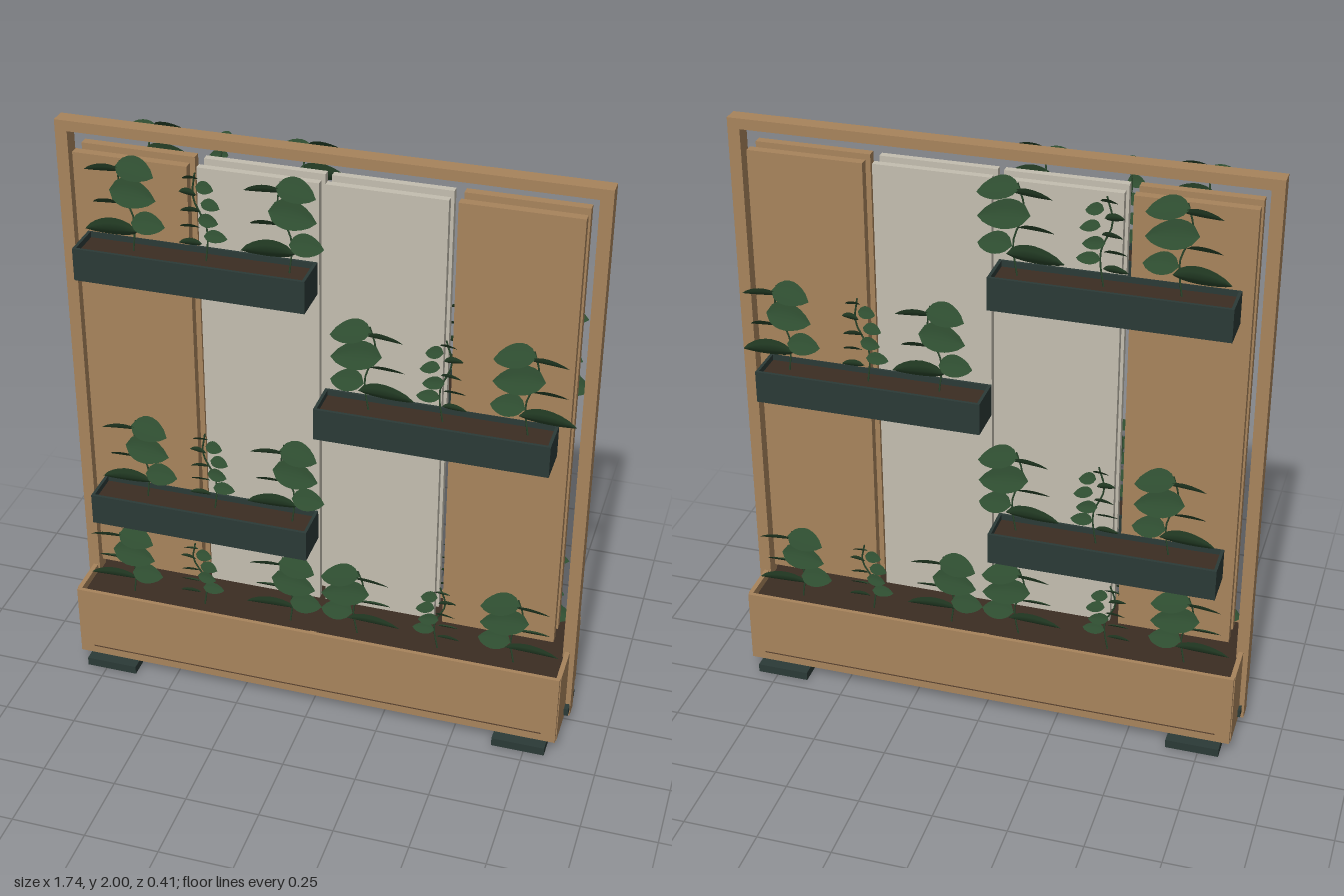
import * as THREE from 'three';
import { mergeGeometries } from 'three/addons/utils/BufferGeometryUtils.js';

const mat = (color, side = THREE.FrontSide) => new THREE.MeshStandardMaterial({ color, side });

// One leaf: grows along +x from the origin, rounded blade, folded on the midrib and drooping at the tip
function leafGeometry(length, width) {
  const g = new THREE.PlaneGeometry(1, 2, 8, 4);
  const p = g.attributes.position;
  for (let i = 0; i < p.count; i++) {
    const u = p.getX(i) + 0.5, v = p.getY(i);
    const half = 0.5 * width * Math.pow(Math.sin(Math.PI * Math.pow(u, 0.85)), 0.7);
    p.setXYZ(i, u * length, v * half - 0.12 * length * u * u, Math.abs(v) * half * 0.25);
  }
  g.computeVertexNormals();
  return g;
}

// Leaf tables: [start x, start y, signed length, width]
const BROAD = [
  [0.03, 0.07, -0.18, 0.085], [0.01, 0.1, 0.11, 0.065], [-0.01, 0.165, -0.11, 0.05],
  [-0.05, 0.21, 0.16, 0.08], [0, 0.285, -0.12, 0.05], [-0.02, 0.3, 0.13, 0.075],
];
const SMALL = Array.from({ length: 9 }, (_, i) => [
  0.008 * Math.sin(i * 1.7), 0.06 + i * 0.029, (i % 2 ? 1 : -1) * (0.078 - i * 0.003), 0.036,
]);

export function createModel() {
  const model = new THREE.Group();
  const wood = mat(0xa8845c), cream = mat(0xc4beb0), dark = mat(0x2b3a37);
  const soil = mat(0x3b2d23), groove = mat(0x5a4330);
  const green = mat(0x2d4b2f, THREE.DoubleSide);

  // Box given by its limits on each axis
  function box(name, material, x0, x1, y0, y1, z0, z1, parent = model) {
    const mesh = new THREE.Mesh(new THREE.BoxGeometry(x1 - x0, y1 - y0, z1 - z0), material);
    mesh.position.set((x0 + x1) / 2, (y0 + y1) / 2, (z0 + z1) / 2);
    mesh.name = name;
    parent.add(mesh);
    return mesh;
  }

  // Upright frame
  box('frameTop', wood, -0.87, 0.87, 1.965, 2, -0.027, 0.027);
  for (const s of [-1, 1]) {
    const c = s * 0.85;
    box('framePost', wood, c - 0.02, c + 0.02, 0.04, 1.965, -0.027, 0.027);
    box('foot', dark, s * 0.73 - 0.09, s * 0.73 + 0.09, 0, 0.03, -0.205, 0.205);
    for (const z of [-1, 1]) {
      box('bracket', dark, c - 0.012, c + 0.018, 0.062, 0.09, z * 0.042 - 0.014, z * 0.042 + 0.014);
      const peg = new THREE.Mesh(new THREE.CylinderGeometry(0.02, 0.02, 0.02, 16), dark);
      peg.position.set(s * 0.73, 0.037, z * 0.12);
      peg.name = 'footPeg';
      model.add(peg);
    }
  }

  // Floor planter
  const planter = new THREE.Group();
  planter.name = 'planter';
  model.add(planter);
  box('planterFloor', wood, -0.84, 0.84, 0.045, 0.06, -0.17, 0.17, planter);
  box('planterSoil', soil, -0.835, 0.835, 0.06, 0.285, -0.17, 0.17, planter);
  for (const s of [-1, 1]) {
    const z = s * 0.177, x = s * 0.845;
    box('planterSide', wood, -0.85, 0.85, 0.045, 0.31, z - 0.007, z + 0.007, planter);
    box('planterEnd', wood, x - 0.008, x + 0.008, 0.045, 0.31, -0.17, 0.17, planter);
    box('planterGroove', groove, -0.8, 0.8, 0.073, 0.077, s * 0.184 - 0.001, s * 0.184 + 0.001, planter);
    box('planterBrace', wood, -0.012, 0.012, 0.06, 0.3, s * 0.163 - 0.008, s * 0.163 + 0.008, planter);
  }

  // Back-to-back cladding boards
  const boards = [[-0.805, -0.43, wood], [-0.4, -0.01, cream], [0.01, 0.39, cream], [0.42, 0.8, wood]];
  for (const [x0, x1, m] of boards) {
    const t = m === wood ? 0.052 : 0.046;
    box('frontBoard', m, x0, x1, 0.36, 1.91, 0.022, t);
    box('rearBoard', m, x0, x1, 0.36, 1.91, -t, -0.022);
  }

  // Trough shelf on one face (s = 1 front, -1 rear)
  function shelf(x0, x1, y, s) {
    const g = new THREE.Group();
    g.name = 'shelf';
    model.add(g);
    const slab = (name, m, a, b, ya, yb, za, zb) =>
      box(name, m, a, b, ya, yb, Math.min(s * za, s * zb), Math.max(s * za, s * zb), g);
    slab('shelfBase', dark, x0, x1, y, y + 0.01, 0.047, 0.182);
    slab('shelfFront', dark, x0, x1, y + 0.01, y + 0.11, 0.172, 0.182);
    slab('shelfBack', dark, x0, x1, y + 0.01, y + 0.11, 0.047, 0.055);
    slab('shelfEnd', dark, x0, x0 + 0.01, y + 0.01, y + 0.11, 0.055, 0.172);
    slab('shelfEnd', dark, x1 - 0.01, x1, y + 0.01, y + 0.11, 0.055, 0.172);
    slab('shelfSoil', soil, x0 + 0.01, x1 - 0.01, y + 0.01, y + 0.09, 0.055, 0.172);
  }

  // Plant with a leaning stem and leaves hung on it
  function plant(x, y, s, table, flip, scale = 1) {
    const height = table[table.length - 1][1] + 0.01;
    const stem = new THREE.CatmullRomCurve3([
      new THREE.Vector3(0, -0.03, 0.1), new THREE.Vector3(0.012, height * 0.35, 0.11),
      new THREE.Vector3(-0.025, height * 0.7, 0.122), new THREE.Vector3(-0.01, height, 0.14),
    ]);
    const parts = [new THREE.TubeGeometry(stem, 12, 0.003, 5)];
    table.forEach(([lx, ly, len, w], i) => {
      const leaf = leafGeometry(Math.abs(len), w * 1.15);
      leaf.rotateX(-0.55 - 0.2 * (i % 3));
      leaf.rotateZ(0.08 * Math.sin(i * 2.3));
      leaf.rotateY((len < 0 ? Math.PI : 0) + 0.12 * Math.sin(i * 1.9));
      const at = stem.getPoint(Math.min(1, (ly + 0.03) / (height + 0.03)));
      leaf.translate(lx, ly, at.z + 0.018);
      parts.push(leaf);
    });
    const mesh = new THREE.Mesh(mergeGeometries(parts), green);
    mesh.scale.set(flip, scale, s);
    mesh.position.set(x, y, 0);
    mesh.name = 'plant';
    model.add(mesh);
  }

  // Shelves and planting, the same on both faces
  for (const s of [1, -1]) {
    for (const [x0, x1, y] of [[-0.77, -0.015, 0.61], [0.01, 0.765, 1.09], [-0.77, -0.015, 1.535]]) {
      const flip = x0 < 0 ? 1 : -1;
      shelf(x0, x1, y, s);
      [[0.17, BROAD], [0.41, SMALL], [0.68, BROAD]].forEach(([dx, table]) =>
        plant(x0 + dx + (flip < 0 ? -0.01 : 0), y + 0.1, s, table, flip));
    }
    [[-0.67, BROAD, 1], [-0.41, SMALL, 1], [-0.1, BROAD, 1], [0.14, BROAD, -1], [0.42, SMALL, -1], [0.68, BROAD, -1]]
      .forEach(([x, table, flip]) => plant(x, 0.3, s, table, flip, 0.88));
  }
  return model;
}
